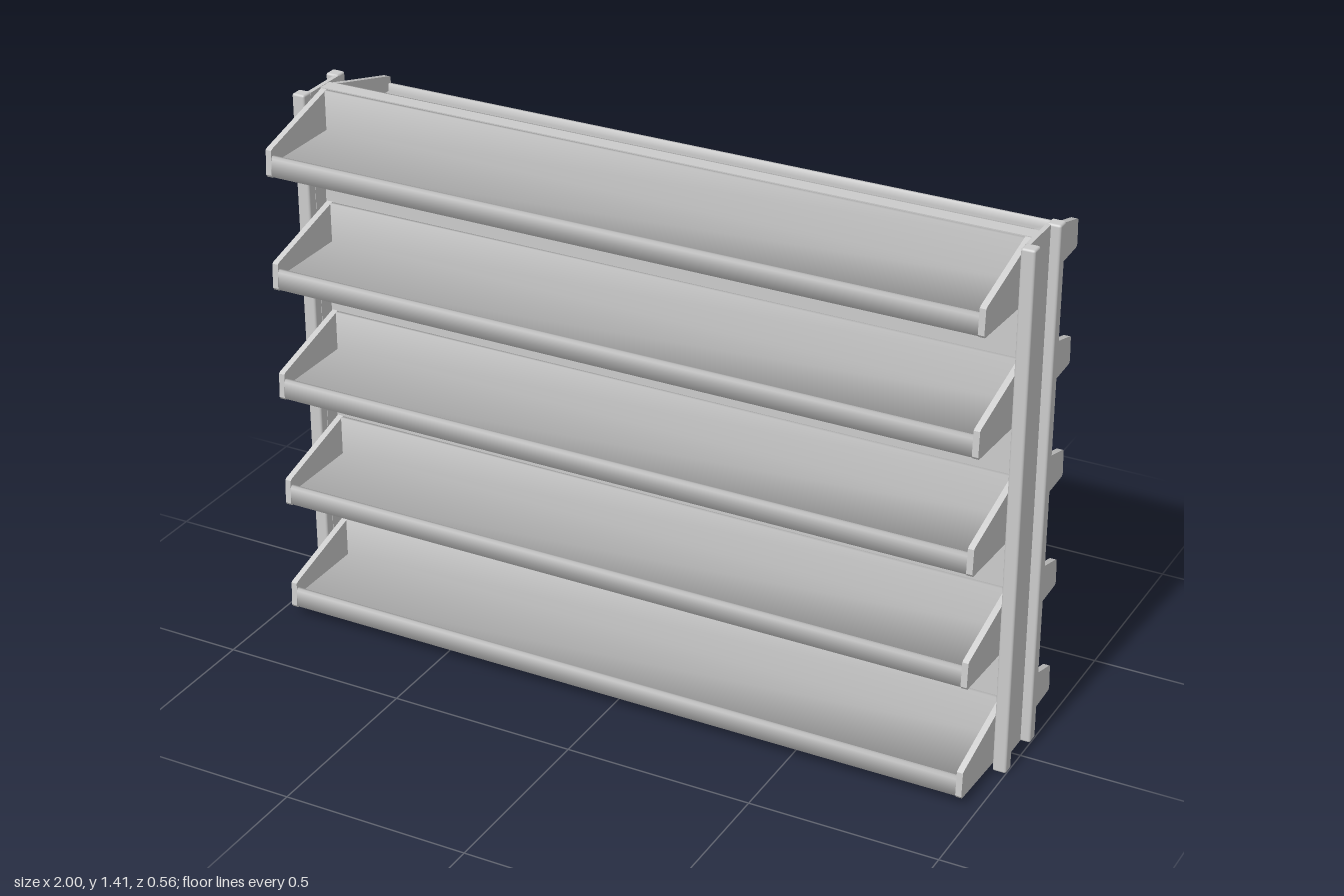
import * as THREE from 'three';
import { RoundedBoxGeometry } from 'three/addons/geometries/RoundedBoxGeometry.js';
import { toCreasedNormals } from 'three/addons/utils/BufferGeometryUtils.js';

const HEIGHT = 1.41;
const SHELVES = 5;
const SHELF_STEP = 0.309;
const FIRST_SHELF = 0.012;

const material = new THREE.MeshStandardMaterial({ color: 0xcccccc });

function addMesh(parent, name, geometry, x = 0, y = 0, z = 0) {
  const mesh = new THREE.Mesh(geometry, material);
  mesh.name = name;
  mesh.position.set(x, y, z);
  parent.add(mesh);
  return mesh;
}

// Extrudes a [z, y] side profile along x, centred on x = 0.
function sideProfile(points, width, crease) {
  const shape = new THREE.Shape(points.map(([z, y]) => new THREE.Vector2(-z, y)));
  const geometry = new THREE.ExtrudeGeometry(shape, { depth: width, bevelEnabled: false });
  geometry.translate(0, 0, -width / 2);
  geometry.rotateY(Math.PI / 2);
  return toCreasedNormals(geometry, crease);
}

// Tray: raised back, flat floor, low rounded front lip and gently sloping underside.
const trayGeometry = sideProfile([
  [0.02, 0], [0.27, 0.012], [0.278, 0.018], [0.277, 0.064], [0.273, 0.07],
  [0.266, 0.07], [0.264, 0.05], [0.03, 0.05], [0.03, 0.156], [0.02, 0.156],
], 1.89, 1.7);

// Tapered end bracket that closes the tray.
const bracketGeometry = sideProfile([
  [0.02, 0], [0.275, 0.013], [0.28, 0.02], [0.276, 0.085], [0.27, 0.089], [0.02, 0.157],
], 0.016, 0.6);

function createShelf() {
  const shelf = new THREE.Group();
  addMesh(shelf, 'tray', trayGeometry);
  for (const side of [-1, 1]) addMesh(shelf, 'endBracket', bracketGeometry, side * 0.953);
  return shelf;
}

// One face of the unit: back panel, uprights and shelves.
function createSide() {
  const half = new THREE.Group();
  addMesh(half, 'backPanel', new THREE.BoxGeometry(1.93, HEIGHT - 0.006, 0.02), 0, HEIGHT / 2, 0.01);

  const postGeometry = new RoundedBoxGeometry(0.036, HEIGHT, 0.035, 2, 0.006);
  const plateGeometry = new THREE.BoxGeometry(0.012, HEIGHT - 0.004, 0.066);
  for (const side of [-1, 1]) {
    addMesh(half, 'uprightPost', postGeometry, side * 0.982, HEIGHT / 2, 0.0775);
    addMesh(half, 'endPlate', plateGeometry, side * 0.969, HEIGHT / 2, 0.033);
  }

  for (let i = 0; i < SHELVES; i++) {
    const shelf = createShelf();
    shelf.name = 'shelf' + (i + 1);
    shelf.position.y = FIRST_SHELF + i * SHELF_STEP;
    half.add(shelf);
  }
  return half;
}

export function createModel() {
  const model = new THREE.Group();
  model.name = 'doubleSidedShelving';
  const front = createSide();
  front.name = 'frontSide';
  const back = createSide();
  back.name = 'backSide';
  back.rotation.y = Math.PI;
  model.add(front, back);
  return model;
}
